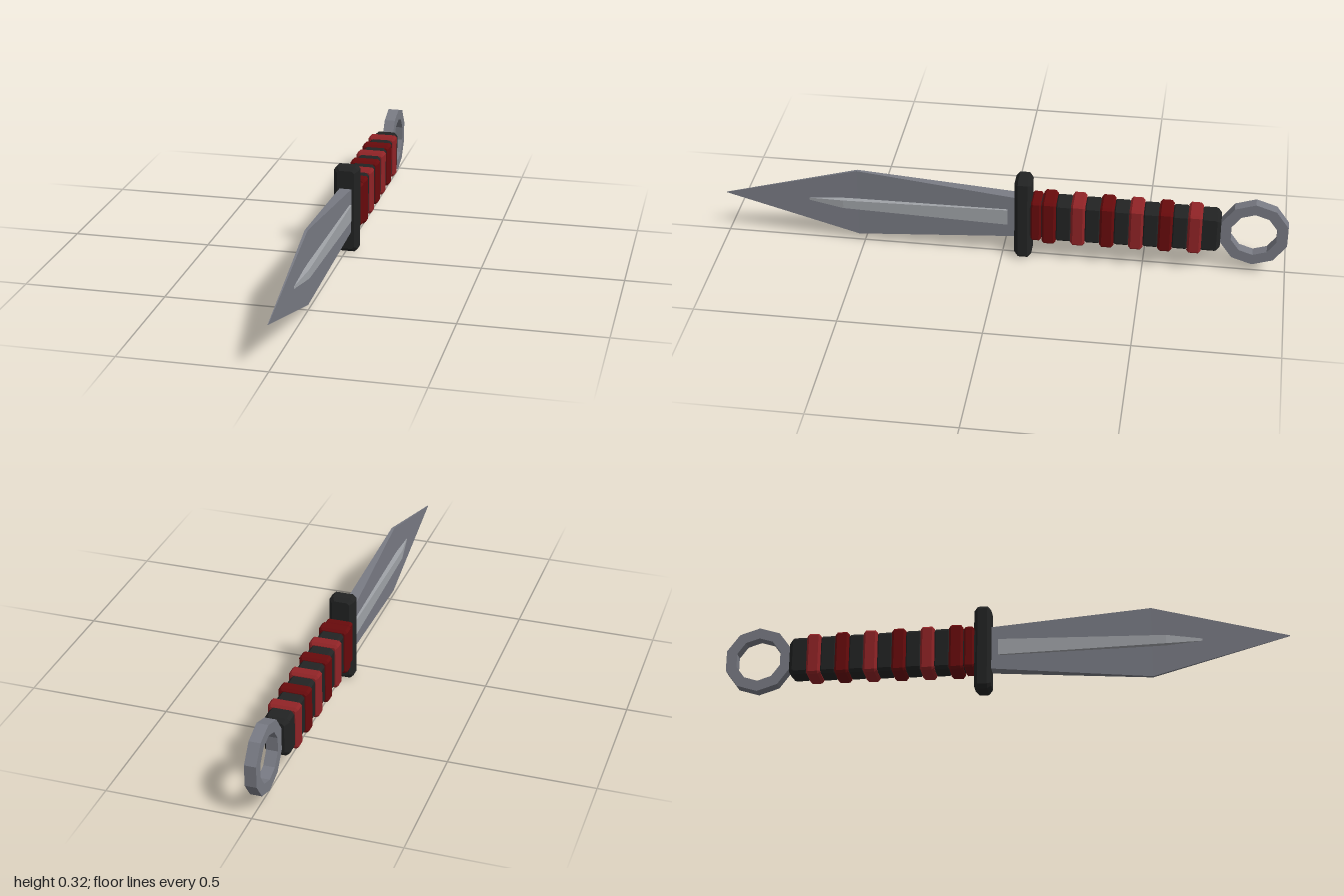
import * as THREE from 'three';

const CY = 0.16; // height of the dagger's long axis

const paint = (name, color) => {
  const m = new THREE.MeshStandardMaterial({ color });
  m.name = name;
  return m;
};

// Rectangle (c = 0) or corner-cut octagon, counter-clockwise seen from +z
function ring(z, hx, hy, c = 0) {
  const p = c > 0
    ? [[hx, c - hy], [hx, hy - c], [hx - c, hy], [c - hx, hy],
       [-hx, hy - c], [-hx, c - hy], [c - hx, -hy], [hx - c, -hy]]
    : [[hx, -hy], [hx, hy], [-hx, hy], [-hx, -hy]];
  return p.map(([x, y]) => [x, y, z]);
}

// Flat-shaded solid through sections [z, halfWidth, halfHeight, cornerCut], z rising
function loft(sections) {
  const rings = sections.map((s) => ring(...s));
  const n = rings[0].length;
  const last = rings[rings.length - 1];
  const pos = [];
  const tri = (...v) => v.forEach((p) => pos.push(...p));
  for (let i = 0; i < rings.length - 1; i++) {
    for (let j = 0; j < n; j++) {
      const k = (j + 1) % n;
      tri(rings[i][j], rings[i][k], rings[i + 1][k]);
      tri(rings[i][j], rings[i + 1][k], rings[i + 1][j]);
    }
  }
  for (let j = 1; j < n - 1; j++) {
    tri(rings[0][0], rings[0][j + 1], rings[0][j]);
    tri(last[0], last[j], last[j + 1]);
  }
  const g = new THREE.BufferGeometry();
  g.setAttribute('position', new THREE.Float32BufferAttribute(pos, 3));
  g.computeVertexNormals();
  return g;
}

// Block along z with all edges chamfered by c
const block = (z0, z1, hx, hy, c) => loft([
  [z0, hx - c, hy - c, c * 0.6],
  [z0 + c, hx, hy, c],
  [z1 - c, hx, hy, c],
  [z1, hx - c, hy - c, c * 0.6],
]);

export function createModel() {
  const steel = paint('steel', 0x787a83);
  const paleSteel = paint('paleSteel', 0xa0a3a8);
  const black = paint('black', 0x222323);
  const darkRed = paint('darkRed', 0x680a0c);
  const red = paint('red', 0x902326);

  const model = new THREE.Group();
  model.name = 'dagger';
  const add = (name, geometry, material) => {
    const m = new THREE.Mesh(geometry, material);
    m.name = name;
    m.position.y = CY;
    model.add(m);
    return m;
  };

  // Blade: thick at the guard, thin at its widest point and tip
  add('blade', loft([
    [-0.06, 0.022, 0.079],
    [0.52, 0.005, 0.132],
    [1, 0.001, 0.001],
  ]), steel);

  // Raised spine running through both faces of the blade
  add('bladeSpine', loft([
    [-0.02, 0.028, 0.03],
    [0.57, 0.023, 0.016],
    [0.7, 0.003, 0.004],
  ]), paleSteel);

  // Guard
  add('guard', block(-0.105, -0.045, 0.044, 0.159, 0.013), black);

  // Grip: red wraps alternating with black ridges, tapering to the rear
  const halfHeight = (z) => 0.081 + (z + 0.1) * 0.014;
  add('gripCore', loft([
    [-0.75, 0.036, 0.064, 0.01],
    [-0.1, 0.036, 0.073, 0.01],
  ]), black);
  add('gripCollar', block(-0.14, -0.104, 0.046, 0.078, 0.006), darkRed);
  for (let i = 0; i < 6; i++) {
    const z = -0.168 - i * 0.102;
    add('gripWrap', block(z - 0.025, z + 0.025, 0.052, halfHeight(z) + 0.005, 0.008), i % 2 ? red : darkRed);
    const r = z - 0.051;
    add('gripRidge', block(r - 0.032, r + 0.032, 0.042, halfHeight(r) - 0.002, 0.01), black);
  }
  add('gripEnd', block(-0.768, -0.69, 0.042, 0.07, 0.013), black);

  // Ten-sided pommel ring
  const polygon = (radius, Type) => new Type(Array.from({ length: 10 }, (_, i) => {
    const a = Math.PI / 2 + (i * Math.PI) / 5;
    return new THREE.Vector2(Math.cos(a) * radius, Math.sin(a) * radius);
  }));
  const outline = polygon(0.123, THREE.Shape);
  outline.holes.push(polygon(0.083, THREE.Path));
  const ringGeometry = new THREE.ExtrudeGeometry(outline, { depth: 0.04, bevelEnabled: false });
  ringGeometry.translate(0, 0, -0.02).rotateY(Math.PI / 2);
  add('pommelRing', ringGeometry, steel).position.z = -0.883;

  return model;
}
